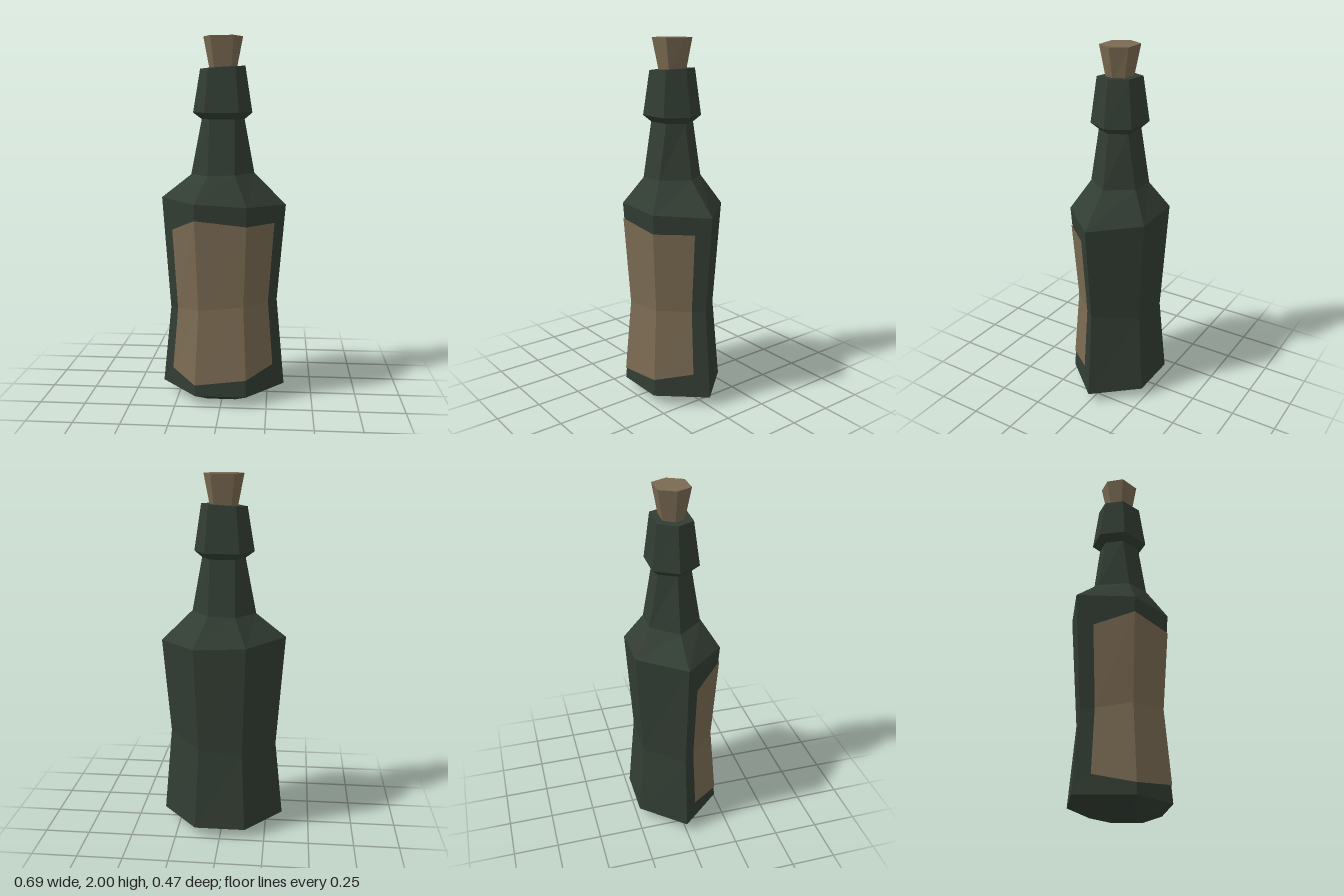
import * as THREE from 'three';

// Six corners, counter-clockwise from above: right, back right, back left, left, front left, front right
function ring(y, xL, xR, aL, aR, d, tiltX = 0, tiltZ = 0) {
  return [[xR, 0], [aR, -d], [-aL, -d], [-xL, 0], [-aL, d], [aR, d]]
    .map(([x, z]) => new THREE.Vector3(x, y + tiltX * x + tiltZ * z, z));
}

// Skin over rows of points running bottom to top; optionally closed around and capped
function skin(rows, closed) {
  const pos = [];
  const tri = (...pts) => pts.forEach((p) => pos.push(p.x, p.y, p.z));
  const n = rows[0].length;
  for (let r = 0; r < rows.length - 1; r++) {
    for (let i = 0; i < (closed ? n : n - 1); i++) {
      const j = (i + 1) % n, lo = rows[r], hi = rows[r + 1];
      tri(lo[i], lo[j], hi[j]);
      tri(lo[i], hi[j], hi[i]);
    }
  }
  if (closed) {
    const top = rows[rows.length - 1], bottom = rows[0];
    for (let i = 1; i < n - 1; i++) {
      tri(top[0], top[i], top[i + 1]);
      tri(bottom[0], bottom[i + 1], bottom[i]);
    }
  }
  const g = new THREE.BufferGeometry();
  g.setAttribute('position', new THREE.Float32BufferAttribute(pos, 3));
  g.computeVertexNormals(); // unshared corners give flat facets
  return g;
}

export function createModel() {
  const group = new THREE.Group();
  const material = (name, color) => Object.assign(new THREE.MeshStandardMaterial({ color }), { name });
  const glass = material('darkGreenGlass', 0x323d33);
  const tan = material('tanPaperAndCork', 0x7a6a52);
  const add = (name, geometry, mat) => {
    const mesh = new THREE.Mesh(geometry, mat);
    mesh.name = name;
    group.add(mesh);
  };

  // Bottle glass: base, waist, shoulder, neck and lip
  const base = ring(0.06, 0.345, 0.345, 0.14, 0.14, 0.235);
  const waist = ring(0.525, 0.3, 0.3, 0.12, 0.12, 0.2, 0.1, 0.1);
  const shoulder = ring(1.11, 0.345, 0.345, 0.14, 0.14, 0.235, -0.05);
  add('bottle', skin([
    ring(0.005, 0.2, 0.19, 0.08, 0.075, 0.13),
    base, waist, shoulder,
    ring(1.262, 0.18, 0.17, 0.075, 0.07, 0.14, 0.03),
    ring(1.56, 0.12, 0.115, 0.07, 0.065, 0.09),
    ring(1.595, 0.168, 0.157, 0.095, 0.09, 0.125),
    ring(1.838, 0.128, 0.118, 0.075, 0.07, 0.096, 0.06, -0.03),
  ], true), glass);

  // Cork stopper
  add('cork', skin([
    ring(1.82, 0.075, 0.07, 0.045, 0.045, 0.055),
    ring(2, 0.11, 0.105, 0.065, 0.06, 0.086),
  ], true), tan);

  // Point on the wall: edge of corner i at height y, moved by t toward corner j
  const atHeight = (lo, hi, i, y) => lo[i].clone().lerp(hi[i], (y - lo[i].y) / (hi[i].y - lo[i].y));
  const onWall = (lo, hi, i, j, t, y) => {
    const p = atHeight(lo, hi, i, y).lerp(atHeight(lo, hi, j, y), t);
    return p.multiply(new THREE.Vector3(1.018, 1, 1.018));
  };
  const lift = (p) => p.multiply(new THREE.Vector3(1.018, 1, 1.018));

  // Paper label wrapped over the front and the two front side faces
  const t = 0.71;
  const columns = [[4, 3, t], [4, 4, 0], [5, 5, 0], [5, 0, t]];
  const labelRow = (lo, hi, heights) => columns.map(([i, j, s], k) => onWall(lo, hi, i, j, s, heights[k]));
  add('label', skin([
    labelRow(base, waist, [0.16, 0.12, 0.155, 0.195]),
    columns.map(([i, j, s]) => lift(waist[i].clone().lerp(waist[j], s))),
    labelRow(waist, shoulder, [0.955, 1.03, 1.0, 1.0]),
  ], false), tan);

  return group;
}
